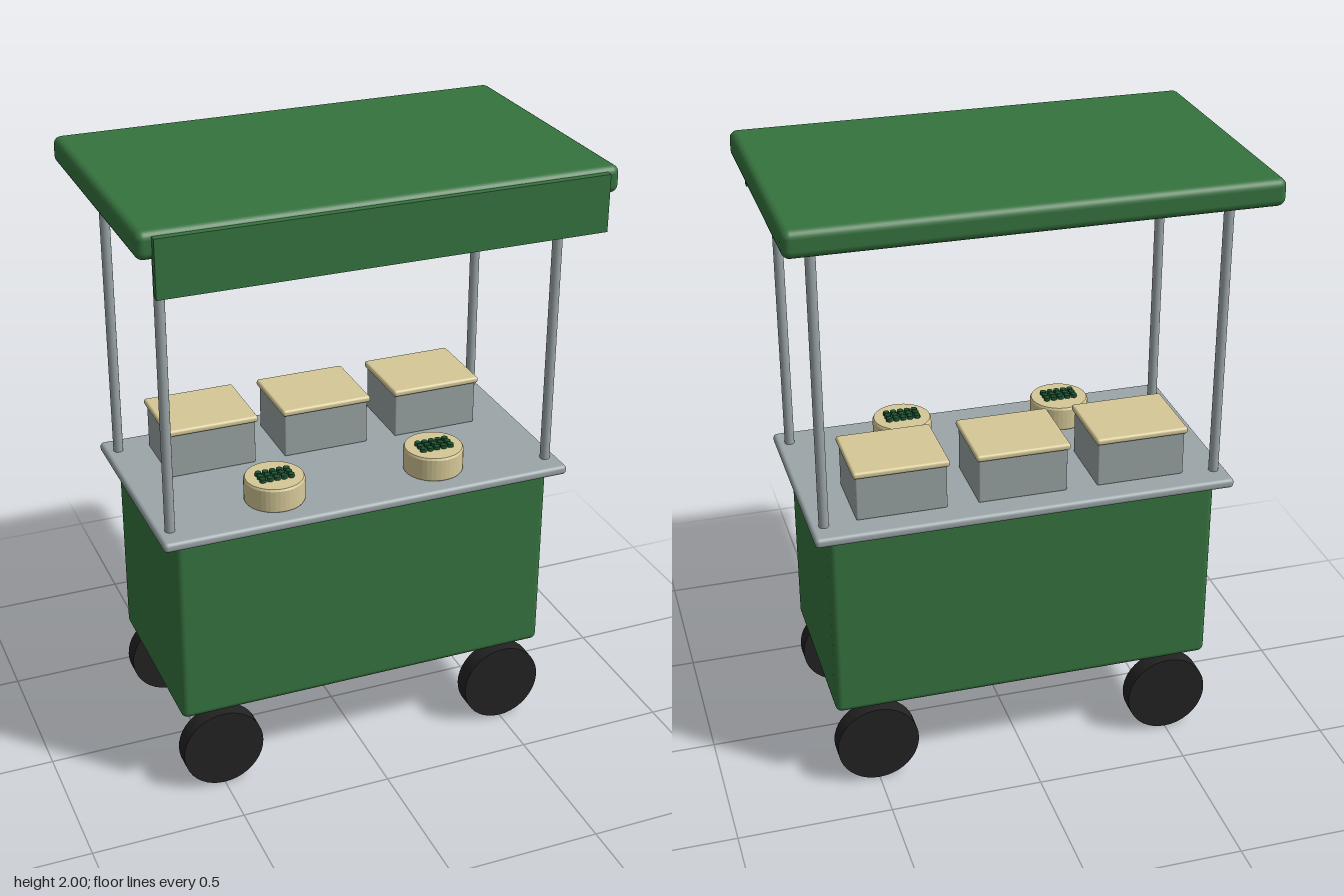
import * as THREE from 'three';
import { RoundedBoxGeometry } from 'three/addons/geometries/RoundedBoxGeometry.js';

const paint = (name, color) => Object.assign(new THREE.MeshStandardMaterial({ color }), { name });

export function createModel() {
  const green = paint('cart green', 0x36733f);
  const steel = paint('steel', 0x9ba5a8);
  const tin = paint('tray grey', 0x9aa3a3);
  const cream = paint('cream', 0xd6c998);
  const rubber = paint('rubber', 0x222222);
  const herb = paint('herb green', 0x1b5230);

  const model = new THREE.Group();
  model.name = 'foodCart';

  const add = (name, geometry, material, x, y, z, parent = model) => {
    const mesh = new THREE.Mesh(geometry, material);
    mesh.name = name;
    mesh.position.set(x, y, z);
    parent.add(mesh);
    return mesh;
  };
  const group = (name, x, y, z) => {
    const g = new THREE.Group();
    g.name = name;
    g.position.set(x, y, z);
    model.add(g);
    return g;
  };
  const rounded = (w, h, d, r) => new RoundedBoxGeometry(w, h, d, 3, r);

  // Cabinet, counter, roof and front valance
  add('cabinet', rounded(1.265, 0.655, 0.63, 0.022), green, 0, 0.607, -0.005);
  add('counter', rounded(1.36, 0.032, 0.725, 0.013), steel, 0, 0.949, -0.005);
  add('roof', rounded(1.49, 0.086, 0.905, 0.025), green, 0, 1.957, -0.0075);
  add('valance', new THREE.BoxGeometry(1.4, 0.18, 0.022), green, 0, 1.896, 0.454);

  // Posts and wheels at the four corners
  const postGeometry = new THREE.CylinderGeometry(0.016, 0.016, 0.98, 20);
  const wheelGeometry = new THREE.CylinderGeometry(0.135, 0.135, 0.06, 40).rotateX(Math.PI / 2);
  for (const sx of [-1, 1]) {
    for (const sz of [-1, 1]) {
      add('post', postGeometry, steel, sx * 0.638, 1.44, sz * 0.282 - 0.005);
      add('wheel', wheelGeometry, rubber, sx * 0.5, 0.1375, sz * 0.29 - 0.005);
    }
  }

  // Lidded food trays along the back
  const trayGeometry = rounded(0.29, 0.15, 0.24, 0.006);
  const lidGeometry = rounded(0.305, 0.022, 0.262, 0.009);
  for (const x of [-0.39, 0, 0.39]) {
    const tray = group('foodTray', x, 0.963, -0.163);
    add('trayBox', trayGeometry, tin, 0, 0.075, 0, tray);
    add('trayLid', lidGeometry, cream, 0, 0.16, 0, tray);
  }

  // Round tubs with a garnish of small chopped herbs
  const tubProfile = [[0, 0], [0.094, 0], [0.097, 0.005], [0.097, 0.074], [0.093, 0.081], [0, 0.081]]
    .map(([r, y]) => new THREE.Vector2(r, y));
  const tubGeometry = new THREE.LatheGeometry(tubProfile, 40);
  tubGeometry.deleteAttribute('normal');
  const crispTub = tubGeometry.toNonIndexed();
  crispTub.computeVertexNormals();
  const herbGeometry = new THREE.CylinderGeometry(0.0105, 0.0115, 0.013, 8);
  for (const x of [-0.272, 0.272]) {
    const tub = group('tub', x, 0.964, 0.203);
    add('tubBody', crispTub, cream, 0, 0, 0, tub);
    for (let i = -2; i <= 2; i++) {
      for (let j = -1; j <= 1; j++) {
        add('garnish', herbGeometry, herb, i * 0.0235, 0.0855, j * 0.0225 + 0.004, tub);
      }
    }
  }

  return model;
}
